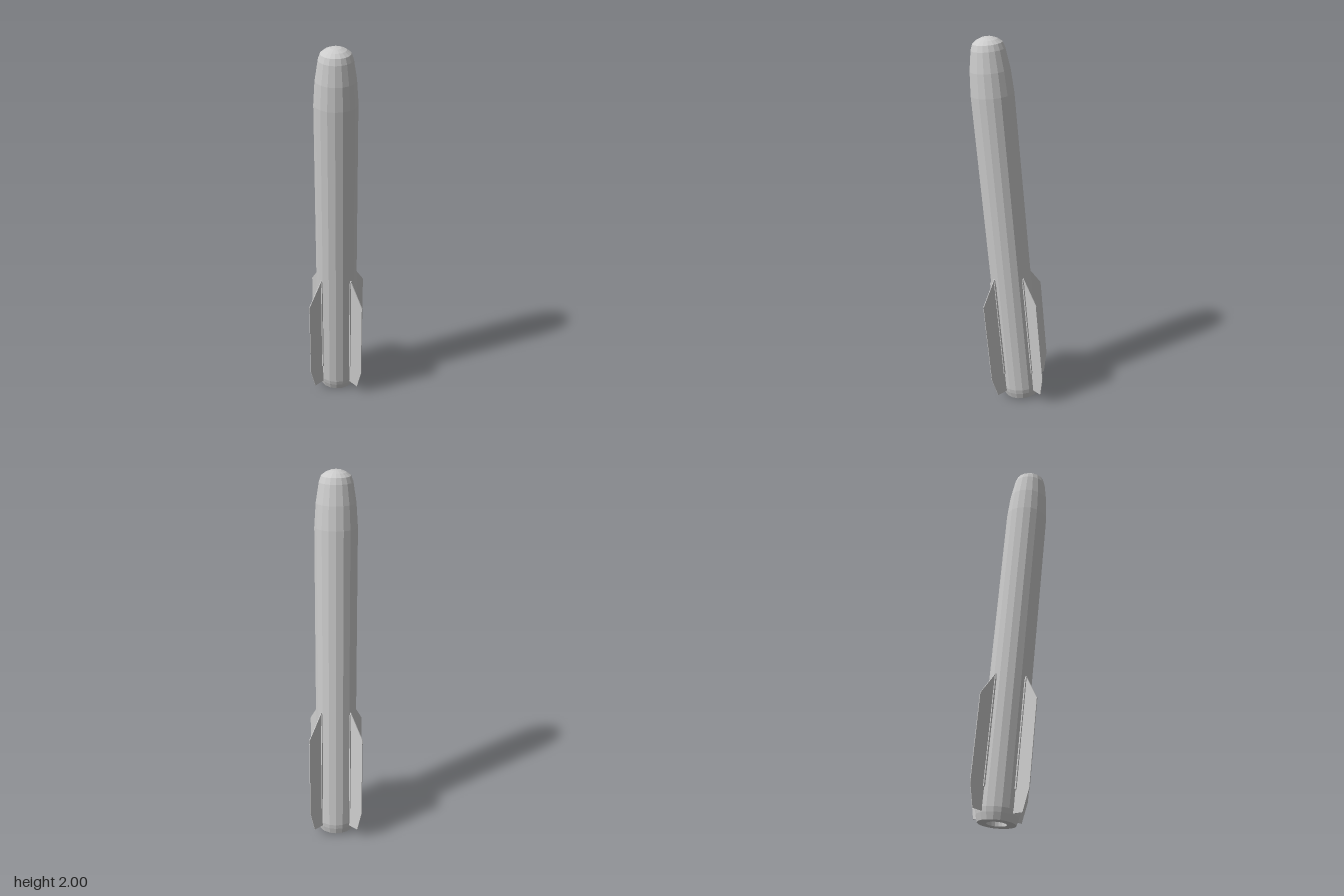
import * as THREE from 'three';

const material = new THREE.MeshStandardMaterial({ color: 0xcccccc, flatShading: true });

function toShape(points) {
  return new THREE.Shape(points.map(([x, y]) => new THREE.Vector2(x, y)));
}

function addMesh(parent, geometry, name) {
  const mesh = new THREE.Mesh(geometry, material);
  mesh.name = name;
  parent.add(mesh);
  return mesh;
}

// Faceted hull with rounded nose and a recessed exhaust hole
function bodyGeometry() {
  const profile = [
    [0, 0.06], [0.05, 0.06], [0.05, 0], [0.095, 0], [0.105, 0.035], [0.109, 0.06],
    [0.109, 1.72], [0.101, 1.84], [0.085, 1.94], [0.074, 1.97], [0.052, 1.987],
    [0.027, 1.997], [0, 2],
  ];
  return new THREE.LatheGeometry(profile.map(([r, y]) => new THREE.Vector2(r, y)), 18);
}

// Thin clipped fin, drawn as radius against height
function finGeometry() {
  const thickness = 0.004;
  const shape = toShape([
    [0.09, 0.04], [0.167, 0.04], [0.198, 0.155], [0.198, 0.605], [0.112, 0.735], [0.09, 0.735],
  ]);
  return new THREE.ExtrudeGeometry(shape, { depth: thickness, bevelEnabled: false })
    .translate(0, 0, -thickness / 2);
}

// Narrow root rail with a tapered upper end
function railGeometry() {
  const shape = toShape([
    [-0.008, 0.155], [0.008, 0.155], [0.008, 0.71], [0.004, 0.737], [-0.004, 0.737], [-0.008, 0.71],
  ]);
  return new THREE.ExtrudeGeometry(shape, { depth: 0.03, bevelEnabled: false })
    .translate(0, 0, 0.085)
    .rotateY(Math.PI / 2);
}

export function createModel() {
  const model = new THREE.Group();
  model.name = 'rocket';

  // The whole rocket leans forward
  const leaning = new THREE.Group();
  leaning.name = 'leaningRocket';
  leaning.rotation.x = 0.0905;
  leaning.position.set(0, 0.0086, -0.07);
  model.add(leaning);

  addMesh(leaning, bodyGeometry(), 'body');

  // Four diagonal fins
  const fin = finGeometry();
  const rail = railGeometry();
  for (let i = 0; i < 4; i++) {
    const assembly = new THREE.Group();
    assembly.name = 'finAssembly' + (i + 1);
    assembly.rotation.y = Math.PI / 4 + (i * Math.PI) / 2;
    addMesh(assembly, fin, 'fin');
    addMesh(assembly, rail, 'finRail');
    leaning.add(assembly);
  }
  return model;
}
